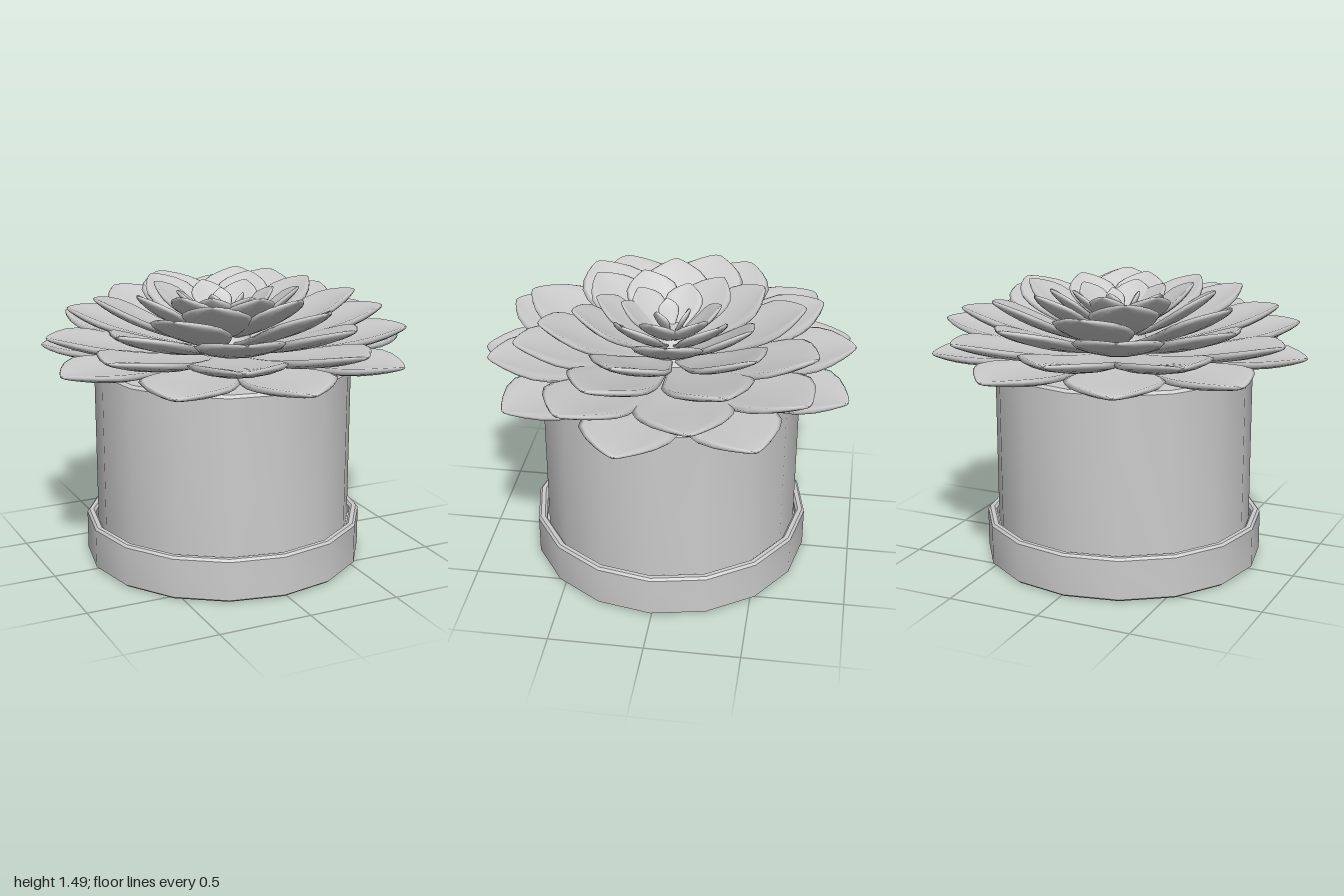
import * as THREE from 'three';
import { toCreasedNormals } from 'three/addons/utils/BufferGeometryUtils.js';

const material = new THREE.MeshStandardMaterial({ color: 0xcccccc });

// Half-width along a leaf: [fraction of length, fraction of half-width]
const OUTLINE = [[0, 0], [0.03, 0.3], [0.2, 0.5], [0.4, 0.76], [0.55, 0.94], [0.66, 1],
  [0.76, 0.95], [0.85, 0.74], [0.92, 0.47], [0.97, 0.22], [0.99, 0.09], [1, 0]];

// Rosette rings, lowest first; angles in degrees from the front, turning to +x
const RINGS = [
  { name: 'outerLeaf', angles: [0, 41, 82, 122, 161, 202, 240, 280, 321], r: 1.0, y: 1.14, base: [0.2, 1.1], sag: 0.03, width: 0.5, thick: 0.05 },
  { name: 'secondLeaf', angles: [21, 63, 103, 142, 182, 222, 262, 299, 340], r: 0.965, y: 1.265, base: [0.15, 1.12], sag: 0.05, width: 0.5, thick: 0.05 },
  { name: 'thirdLeaf', angles: [25, 68, 116, 159, 203, 246, 296, 342], r: 0.84, y: 1.365, base: [0.12, 1.15], sag: 0.05, width: 0.46, thick: 0.05 },
  { name: 'fourthLeaf', angles: [22, 73, 134, 188, 256, 314], r: 0.7, y: 1.44, base: [0.1, 1.18], sag: 0.06, width: 0.42, thick: 0.045 },
  { name: 'fifthLeaf', angles: [20, 95, 148, 207, 275, 328], r: 0.52, y: 1.48, base: [0.08, 1.22], sag: 0.06, width: 0.36, thick: 0.04 },
  { name: 'sixthLeaf', angles: [58, 135, 232, 300, 2], r: 0.39, y: 1.485, base: [0.06, 1.25], sag: 0.05, width: 0.29, thick: 0.035 },
  { name: 'innerLeaf', angles: [4, 76, 130, 184, 256, 320], r: 0.26, y: 1.465, base: [0.04, 1.28], sag: 0.04, width: 0.21, thick: 0.03 },
  { name: 'budLeaf', angles: [50, 170, 290], r: 0.1, y: 1.45, base: [0.02, 1.3], sag: 0.02, width: 0.11, thick: 0.025 },
];

// One fleshy, cupped, pointed leaf growing along +z
function leafGeometry({ r, y, base, sag, width, thick }) {
  const sides = 14;
  const half = width / 2;
  const spine = new THREE.QuadraticBezierCurve(
    new THREE.Vector2(base[0], base[1]),
    new THREE.Vector2((base[0] + r) / 2, (base[1] + y) / 2 - sag),
    new THREE.Vector2(r, y));
  const positions = [];
  const index = [];
  OUTLINE.forEach(([u, w], i) => {
    const p = spine.getPoint(u);
    const t = spine.getTangent(u);
    const depth = (thick / 2) * Math.sqrt(w);
    for (let j = 0; j < sides; j++) {
      const a = (j / sides) * Math.PI * 2;
      const c = Math.cos(a);
      const s = Math.sin(a);
      // flattened oval section whose edges curl upward
      const h = depth * Math.sign(s) * Math.sqrt(Math.abs(s)) + half * 0.16 * w * c * c;
      positions.push(half * w * c, p.y + t.x * h, p.x - t.y * h);
      if (i < OUTLINE.length - 1) {
        const k = (j + 1) % sides;
        const a0 = i * sides + j;
        const a1 = i * sides + k;
        index.push(a0, a1, a0 + sides, a1, a1 + sides, a0 + sides);
      }
    }
  });
  const g = new THREE.BufferGeometry();
  g.setAttribute('position', new THREE.Float32BufferAttribute(positions, 3));
  g.setIndex(index);
  g.computeVertexNormals();
  return g;
}

// Sixteen-sided turned part with sharp rims
function turned(name, profile) {
  const points = profile.map(([x, y]) => new THREE.Vector2(x, y));
  const g = toCreasedNormals(new THREE.LatheGeometry(points, 16), 0.6);
  const mesh = new THREE.Mesh(g, material);
  mesh.name = name;
  mesh.position.set(-0.015, 0, 0.005);
  return mesh;
}

export function createModel() {
  const model = new THREE.Group();
  model.name = 'pottedSucculent';

  // Saucer with a raised rim, and the pot standing in it
  model.add(turned('saucer', [[0, 0], [0.735, 0], [0.75, 0.012], [0.75, 0.222], [0.738, 0.235],
    [0.715, 0.235], [0.703, 0.222], [0.703, 0.18], [0, 0.18]]));
  model.add(turned('pot', [[0, 0.1], [0.69, 0.1], [0.69, 1.065], [0.675, 1.08], [0, 1.08]]));

  // Short stem that carries the leaves
  const stem = new THREE.Mesh(new THREE.CylinderGeometry(0.06, 0.22, 0.27, 16), material);
  stem.name = 'stem';
  stem.position.y = 1.195;
  model.add(stem);

  // Rosette of leaf rings
  const rosette = new THREE.Group();
  rosette.name = 'rosette';
  for (const ring of RINGS) {
    const geometry = leafGeometry(ring);
    for (const angle of ring.angles) {
      const leaf = new THREE.Mesh(geometry, material);
      leaf.name = ring.name;
      leaf.rotation.y = THREE.MathUtils.degToRad(angle);
      rosette.add(leaf);
    }
  }
  model.add(rosette);
  return model;
}
